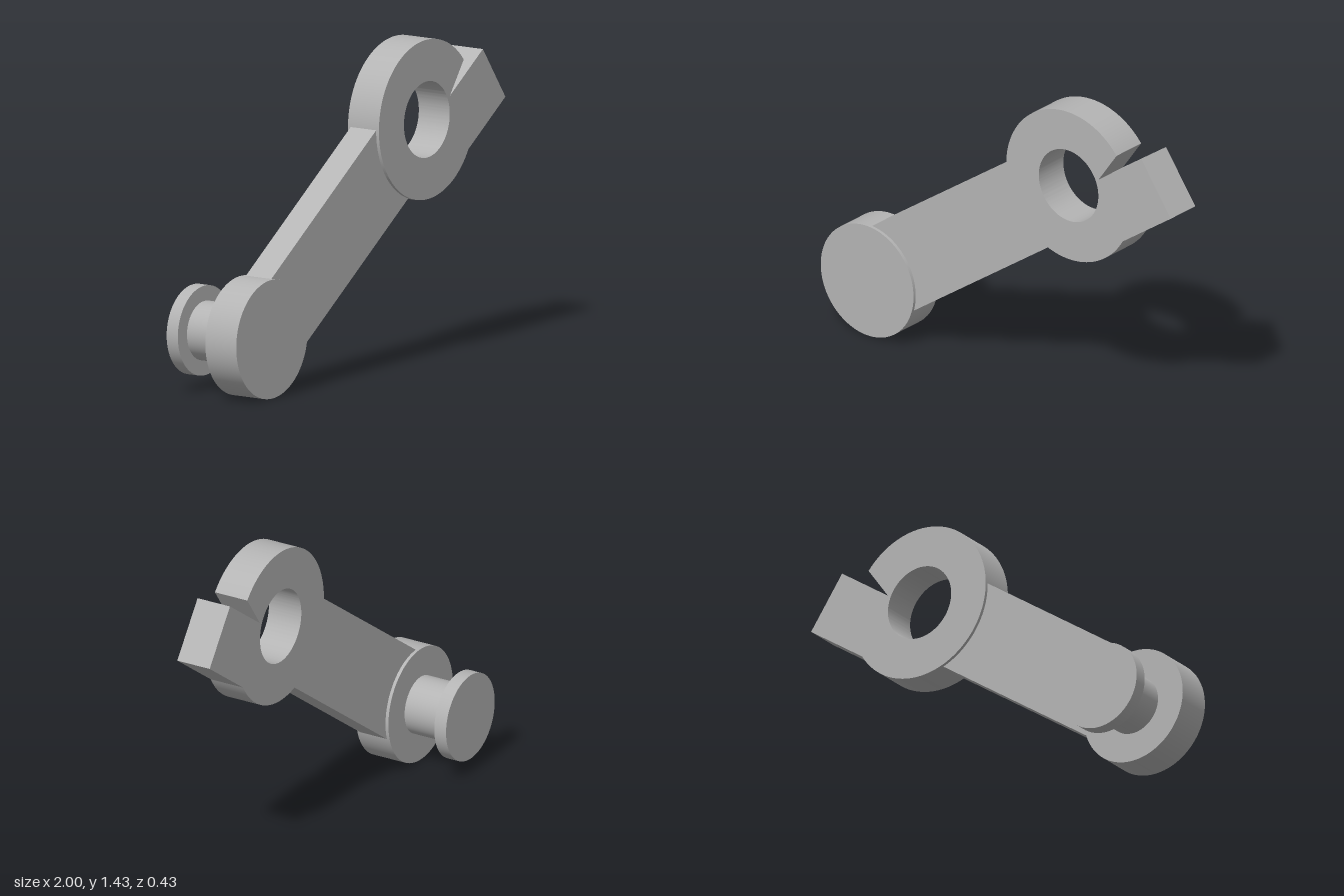
import * as THREE from 'three';
import { toCreasedNormals } from 'three/addons/utils/BufferGeometryUtils.js';

export function createModel() {
  const model = new THREE.Group();
  model.name = 'clampLever';
  const grey = new THREE.MeshStandardMaterial({ color: 0xb4b4b4 });
  grey.name = 'plain grey';

  // Everything is laid out along the lever's own axis, then tilted.
  const lever = new THREE.Group();
  lever.name = 'lever';
  lever.position.set(-0.736, 0.265, 0);
  lever.rotation.z = Math.atan2(0.81, 1.151);
  model.add(lever);

  const add = (name, geometry, x, z) => {
    const mesh = new THREE.Mesh(geometry, grey);
    mesh.name = name;
    mesh.position.set(x, 0, z);
    lever.add(mesh);
  };
  // Round part facing z, spanning z0 to z1
  const disc = (name, radius, z0, z1) =>
    add(name, new THREE.CylinderGeometry(radius, radius, z1 - z0, 96).rotateX(Math.PI / 2), 0, (z0 + z1) / 2);

  // Round end with the headed pin behind it
  disc('endBoss', 0.265, 0.045, 0.213);
  disc('pinShaft', 0.132, -0.152, 0.045);
  disc('pinHead', 0.2, -0.213, -0.152);

  // Flat arm, slightly thinner than the two ends
  const ringX = 1.407, armStart = 0.165, armEnd = ringX - 0.25;
  add('arm', new THREE.BoxGeometry(armEnd - armStart, 0.414, 0.138), (armStart + armEnd) / 2, 0.129);

  // Clamp ring with a straight lug and a blind slot above it
  const R = 0.356, slotTop = 0.028, slotBottom = -0.033, slotEnd = 0.185;
  const lugBottom = -0.323, lugEnd = 0.486;
  const ring = new THREE.Shape();
  ring.moveTo(slotEnd, slotTop);
  ring.absarc(0, 0, R, Math.asin(slotTop / R), Math.PI * 2 + Math.asin(lugBottom / R), false);
  ring.lineTo(lugEnd, lugBottom);
  ring.lineTo(lugEnd, slotBottom);
  ring.lineTo(slotEnd, slotBottom);
  ring.closePath();
  const bore = new THREE.Path();
  bore.absarc(0, 0, 0.17, 0, Math.PI * 2, true);
  ring.holes.push(bore);
  const ringGeometry = new THREE.ExtrudeGeometry(ring, { depth: 0.168, bevelEnabled: false, curveSegments: 80 });
  add('clampRing', toCreasedNormals(ringGeometry, 0.4), ringX, 0.045);

  return model;
}
